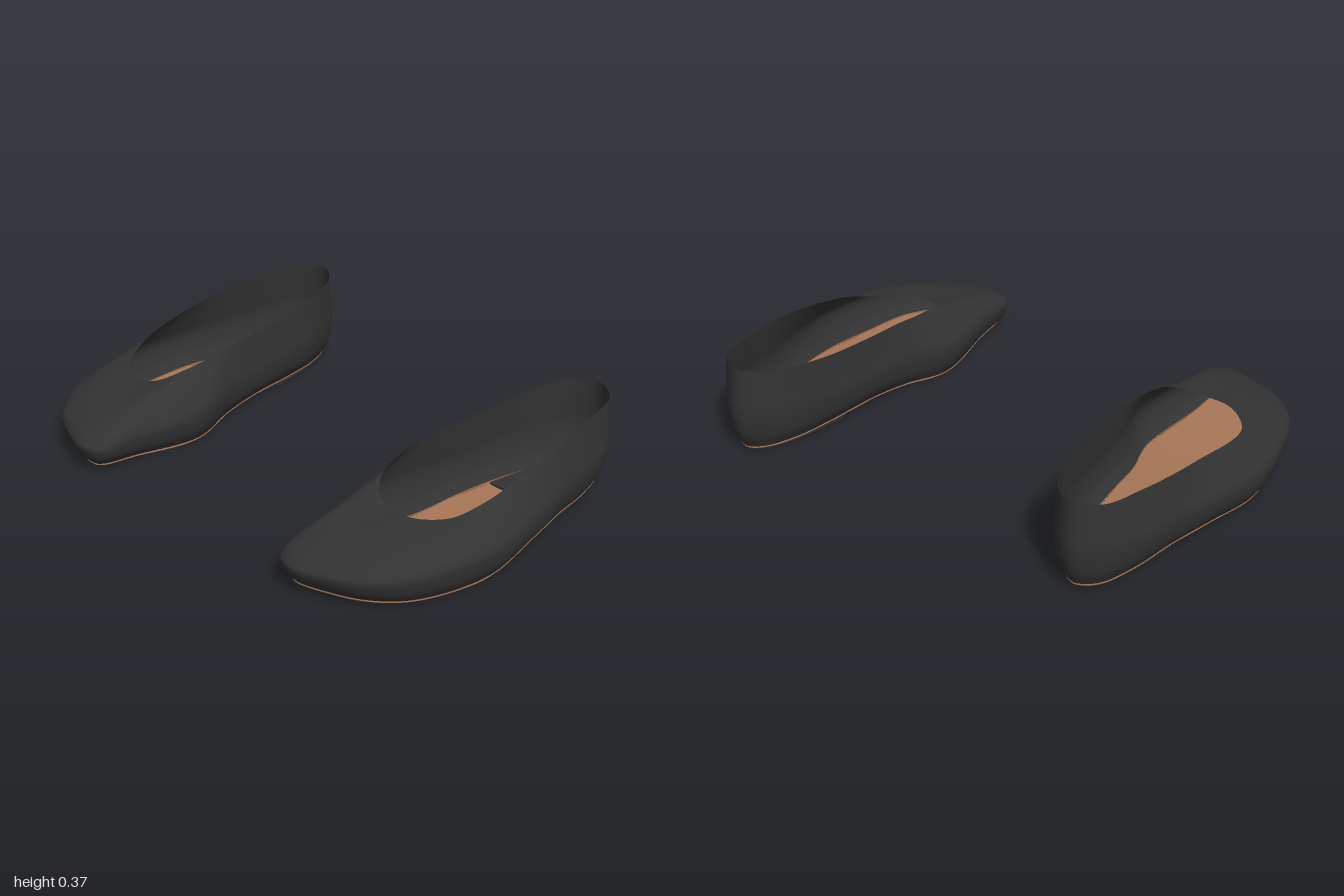
import * as THREE from 'three';

const { smoothstep } = THREE.MathUtils;
const V = (x, y, z) => new THREE.Vector3(x, y, z);

// Widest outline of the left shoe [x, y, z], from the heel round the outer side to the toe and back
const WIDEST = [
  [0.73, 0.18, -0.71], [0.83, 0.18, -0.65], [0.89, 0.17, -0.5], [0.925, 0.16, -0.32], [0.97, 0.15, -0.12],
  [1.0, 0.135, 0.12], [0.975, 0.13, 0.3], [0.915, 0.13, 0.49], [0.81, 0.125, 0.61], [0.68, 0.12, 0.675],
  [0.565, 0.12, 0.705], [0.49, 0.12, 0.67], [0.465, 0.125, 0.5], [0.43, 0.135, 0.22], [0.485, 0.15, 0.02],
  [0.51, 0.15, -0.15], [0.535, 0.16, -0.35], [0.575, 0.17, -0.53], [0.64, 0.18, -0.66],
].map(p => V(...p));

// Rim of the foot opening at the same stations
const RIM = [
  [0.73, 0.365, -0.695], [0.82, 0.36, -0.645], [0.865, 0.35, -0.5], [0.895, 0.335, -0.33], [0.905, 0.31, -0.15],
  [0.905, 0.275, 0.02], [0.89, 0.25, 0.13], [0.855, 0.225, 0.22], [0.795, 0.22, 0.29], [0.73, 0.22, 0.325],
  [0.66, 0.22, 0.33], [0.59, 0.24, 0.305], [0.54, 0.27, 0.24], [0.515, 0.295, 0.12], [0.515, 0.315, -0.02],
  [0.53, 0.32, -0.18], [0.55, 0.33, -0.36], [0.585, 0.35, -0.54], [0.65, 0.362, -0.655],
].map(p => V(...p));

const COUNT = WIDEST.length, TOE = 10 / COUNT;
const AROUND = 152, UP = 18;

// Height of the sole along the shoe: raised arch, toe spring
const soleY = z => 0.03 * (1 - smoothstep(z, -0.15, 0.22))
  - 0.012 * (1 - smoothstep(z, -0.7, -0.25)) + 0.03 * smoothstep(z, 0.25, 0.72);

// Shrinks the widest outline inwards in plan
function inset(d) {
  return WIDEST.map((p, i) => {
    const a = WIDEST[(i + COUNT - 1) % COUNT], b = WIDEST[(i + 1) % COUNT];
    const n = V(b.z - a.z, 0, a.x - b.x).normalize();
    return p.clone().addScaledVector(n, -d);
  });
}
const ring = pts => new THREE.CatmullRomCurve3(pts, true);
const soleRing = ring(inset(0.04).map(p => V(p.x, soleY(p.z), p.z)));

// Grid surface; side = -1 mirrors it and keeps the faces outward
function gridGeometry(rows, closed, side) {
  const n = rows[0].length, pos = [], idx = [];
  rows.forEach(r => r.forEach(p => pos.push(side * p.x, p.y, p.z)));
  for (let j = 0; j < rows.length - 1; j++) {
    for (let i = 0; i < (closed ? n : n - 1); i++) {
      const a = j * n + i, b = j * n + (i + 1) % n, c = a + n, d = b + n;
      if (side > 0) idx.push(a, c, b, b, c, d);
      else idx.push(a, b, c, b, d, c);
    }
  }
  const g = new THREE.BufferGeometry();
  g.setAttribute('position', new THREE.Float32BufferAttribute(pos, 3));
  g.setIndex(idx);
  g.computeVertexNormals();
  return g;
}

// Upper: lofted from the sole edge, over the bulge, in to the rim
function upperGeometry(side) {
  const base = inset(0.04).map(p => V(p.x, soleY(p.z) + 0.006, p.z));
  const low = inset(0.013).map(p => V(p.x, 0.6 * soleY(p.z) + 0.4 * p.y, p.z));
  const shoulder = WIDEST.map((p, i) => {
    const q = p.clone().lerp(RIM[i], 0.4);
    q.y += 0.07 * Math.hypot(p.x - RIM[i].x, p.z - RIM[i].z);
    return q;
  });
  const rings = [base, low, WIDEST, shoulder, RIM].map(ring);
  const rows = Array.from({ length: UP + 1 }, () => []);
  for (let i = 0; i < AROUND; i++) {
    const profile = new THREE.CatmullRomCurve3(rings.map(r => r.getPoint(i / AROUND)));
    rows.forEach((row, j) => row.push(profile.getPoint(j / UP)));
  }
  return gridGeometry(rows, true, side);
}

// Sole sheet: strips between the outer and inner edges, heel to toe
function soleGeometry(side) {
  const rows = [];
  for (let j = 0; j <= 60; j++) {
    const f = j / 60;
    const outer = soleRing.getPoint(f * TOE), inner = soleRing.getPoint((1 - f * (1 - TOE)) % 1);
    rows.push(Array.from({ length: 9 }, (_, i) => {
      const p = outer.clone().lerp(inner, i / 8);
      p.y = soleY(p.z);
      return p;
    }));
  }
  return gridGeometry(rows, false, side);
}

// Thin edge band of the sole
function soleEdgeGeometry(side) {
  const edge = Array.from({ length: AROUND }, (_, i) => soleRing.getPoint(i / AROUND));
  return gridGeometry([edge, edge.map(p => V(p.x, p.y + 0.007, p.z))], true, side);
}

// Heel block: rear part of the sole outline, cut straight at the front
function heelGeometry(side) {
  const curve = ring(inset(0.05)), pts = [];
  for (let i = 0; i < AROUND; i++) {
    const p = curve.getPoint((i / AROUND + 0.5) % 1);
    if (p.z < -0.29) pts.push(new THREE.Vector2(side * p.x, -p.z));
  }
  pts[0].y = pts[pts.length - 1].y = 0.29;
  const g = new THREE.ExtrudeGeometry(new THREE.Shape(pts), { depth: 0.03, bevelEnabled: false });
  return g.rotateX(-Math.PI / 2).translate(0, 0.009, 0);
}

export function createModel() {
  const black = new THREE.MeshStandardMaterial({ color: 0x333333, side: THREE.DoubleSide });
  black.name = 'black leather';
  const tan = new THREE.MeshStandardMaterial({ color: 0xa87657, side: THREE.DoubleSide });
  tan.name = 'tan sole';

  const model = new THREE.Group();
  model.name = 'pairOfFlatShoes';
  for (const [name, side] of [['leftShoe', 1], ['rightShoe', -1]]) {
    const shoe = new THREE.Group();
    shoe.name = name;
    const add = (part, geometry, material) => {
      const mesh = new THREE.Mesh(geometry, material);
      mesh.name = part;
      shoe.add(mesh);
    };
    add('upper', upperGeometry(side), black);
    add('sole', soleGeometry(side), tan);
    add('soleEdge', soleEdgeGeometry(side), tan);
    add('heel', heelGeometry(side), black);
    model.add(shoe);
  }
  return model;
}
